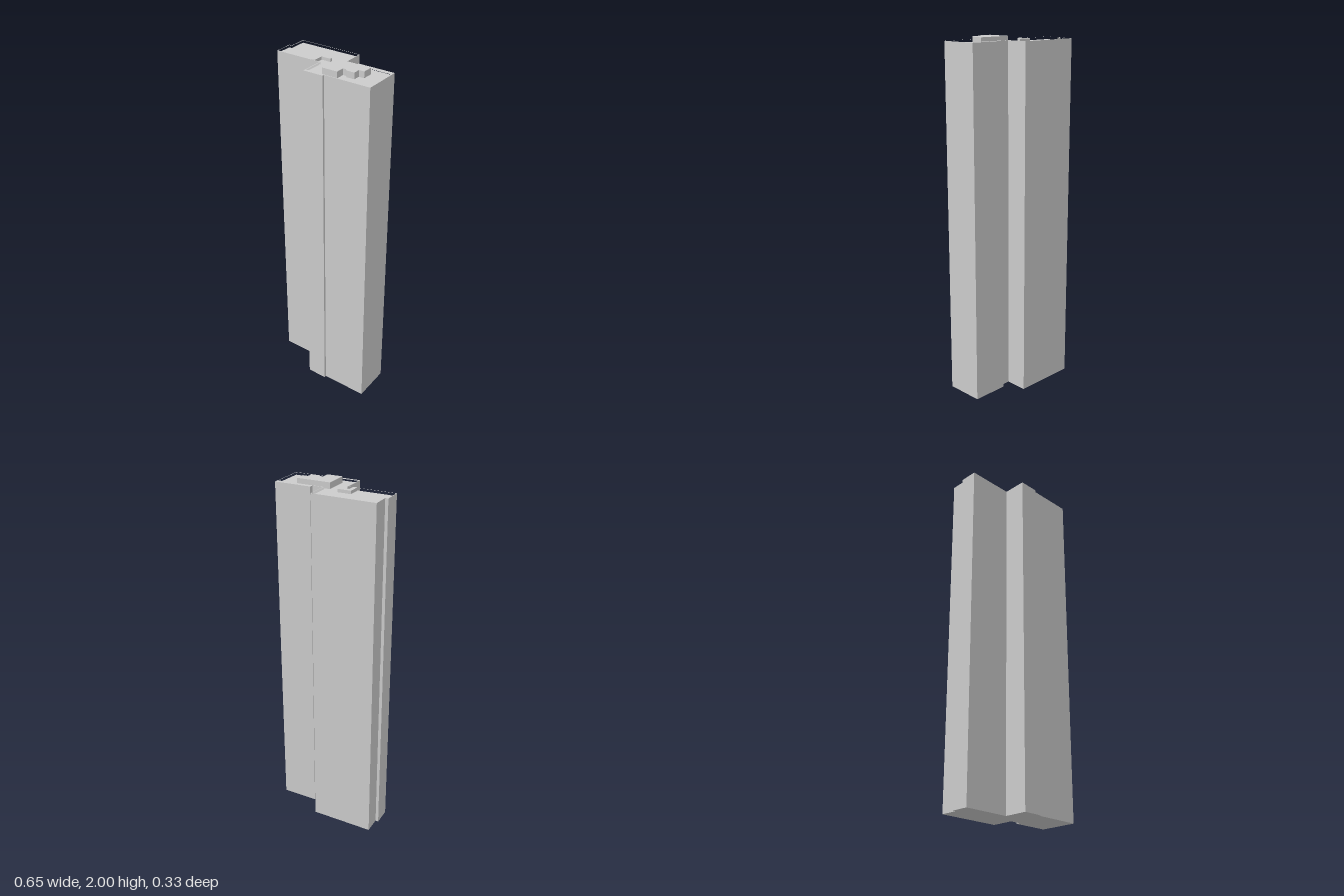
import * as THREE from 'three';

const ROOF = 1.966, RIM = 1.98, TOP = 2;

// Plan outlines as [x, z] corners
const footprint = [
  [-0.307, -0.167], [0.053, -0.167], [0.053, -0.041], [0.115, -0.041], [0.115, -0.063],
  [0.324, -0.063], [0.324, 0.153], [0.06, 0.153], [0.06, 0.165], [-0.055, 0.165],
  [-0.055, 0.03], [-0.324, 0.03], [-0.324, -0.071], [-0.307, -0.071],
];
const roofWell = [
  [-0.303, -0.164], [0.05, -0.164], [0.05, -0.037], [0.321, -0.037], [0.321, 0.149],
  [-0.051, 0.149], [-0.051, 0.027], [-0.321, 0.027], [-0.321, -0.067], [-0.303, -0.067],
];
const penthousePlan = [
  [0.028, -0.013], [0.221, -0.013], [0.221, 0.047], [0.19, 0.047], [0.19, 0.086],
  [0.145, 0.086], [0.131, 0.073], [0.116, 0.073], [0.116, 0.123], [0.028, 0.123],
];
const ductPlan = [
  [-0.108, -0.045], [-0.032, -0.045], [-0.03, -0.028], [-0.085, -0.028],
  [-0.085, 0.027], [-0.108, 0.027],
];

const toPoints = (plan) => plan.map(([x, z]) => new THREE.Vector2(x, -z));

export function createModel() {
  const group = new THREE.Group();
  const material = new THREE.MeshStandardMaterial({ color: 0xcccccc });

  // Raises a plan outline from y0 to y1
  function addPrism(name, plan, y0, y1, hole) {
    const shape = new THREE.Shape(toPoints(plan));
    if (hole) shape.holes.push(new THREE.Path(toPoints(hole)));
    const geometry = new THREE.ExtrudeGeometry(shape, { depth: y1 - y0, bevelEnabled: false });
    geometry.rotateX(-Math.PI / 2).translate(0, y0, 0);
    const mesh = new THREE.Mesh(geometry, material);
    mesh.name = name;
    group.add(mesh);
  }

  // Tower shaft, with its top as the sunken roof
  addPrism('towerBody', footprint, 0, ROOF);
  // Thin wall round the roof, widening over the shallow bays
  addPrism('parapet', footprint, ROOF, RIM, roofWell);
  // Raised blocks on the roof
  addPrism('penthouse', penthousePlan, ROOF, TOP);
  addPrism('roofDuct', ductPlan, ROOF, RIM + 0.003);

  return group;
}
